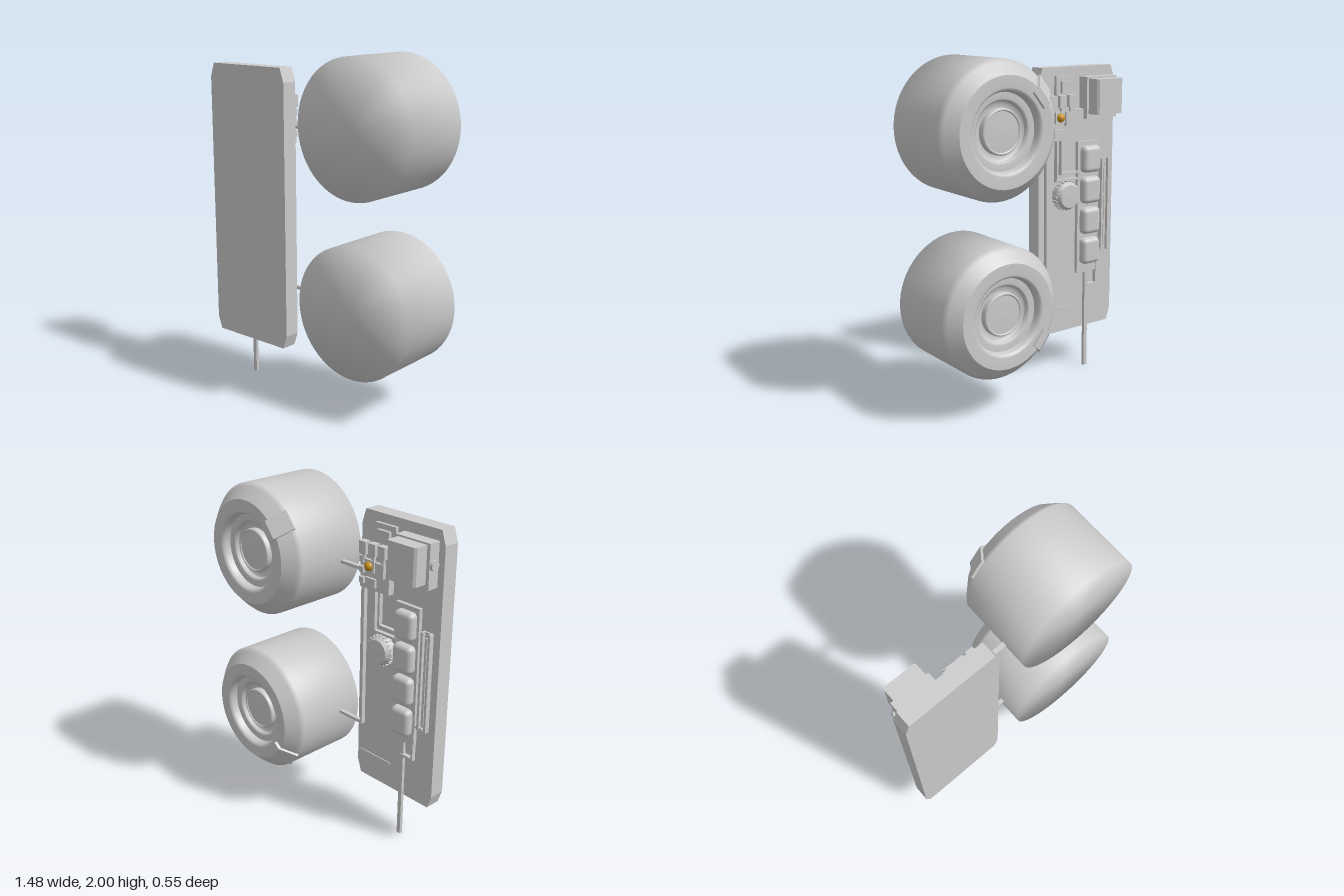
import * as THREE from 'three';
import { RoundedBoxGeometry } from 'three/addons/geometries/RoundedBoxGeometry.js';

const grey = new THREE.MeshStandardMaterial({ color: 0xcccccc });
const flat = new THREE.MeshStandardMaterial({ color: 0xcccccc, flatShading: true });
const gold = new THREE.MeshStandardMaterial({ color: 0xc8921a });

const BACK = 0.145; // rear face of the slab, where the controls sit

function add(parent, name, geo, mat = flat) {
  const m = new THREE.Mesh(geo, mat);
  m.name = name;
  parent.add(m);
  return m;
}

// Box given by its limits on each axis
function box(parent, name, x0, x1, y0, y1, z0, z1) {
  const m = add(parent, name, new THREE.BoxGeometry(x1 - x0, y1 - y0, z1 - z0));
  m.position.set((x0 + x1) / 2, (y0 + y1) / 2, (z0 + z1) / 2);
  return m;
}

// Lathe turned so that profile height runs towards the back (-z)
function lathe(parent, name, pts, mat = grey, seg = 64) {
  const geo = new THREE.LatheGeometry(pts.map(p => new THREE.Vector2(p[0], p[1])), seg);
  geo.rotateX(-Math.PI / 2);
  return add(parent, name, geo, mat);
}

// Square wire through a list of [x, y] corners, lying on the slab
function wire(parent, name, pts, w = 0.018, z = 0.128) {
  for (let i = 0; i < pts.length - 1; i++) {
    const [a, b] = [pts[i], pts[i + 1]], h = w / 2;
    box(parent, name, Math.min(a[0], b[0]) - h, Math.max(a[0], b[0]) + h,
      Math.min(a[1], b[1]) - h, Math.max(a[1], b[1]) + h, z - 0.013, z + 0.013);
  }
}

// Box tapering towards the back, with bevelled rear edges
function bevelBox(parent, name, w, h, d, bevel) {
  const s = new THREE.Shape();
  s.moveTo(-w / 2, 0);
  s.lineTo(w / 2, 0);
  s.lineTo(w / 2, d - bevel);
  s.lineTo(w / 2 - bevel, d);
  s.lineTo(-w / 2 + bevel, d);
  s.lineTo(-w / 2, d - bevel);
  const geo = new THREE.ExtrudeGeometry(s, { depth: h, bevelEnabled: false });
  geo.translate(0, 0, -h / 2).rotateX(-Math.PI / 2);
  return add(parent, name, geo);
}

function speaker(side) {
  const g = new THREE.Group();
  lathe(g, 'speakerShell', [[0, -0.27], [0.38, -0.27], [0.38, 0.17], [0.36, 0.195], [0.3, 0.255]]);
  lathe(g, 'speakerRim', [[0.3, 0.255], [0.235, 0.255], [0.222, 0.25], [0.215, 0.235], [0.21, 0.205]]);
  lathe(g, 'speakerRing', [[0.21, 0.205], [0.175, 0.205], [0.165, 0.2], [0.16, 0.18]]);
  lathe(g, 'speakerCone', [[0.16, 0.18], [0.145, 0.17], [0.125, 0.17]]);
  lathe(g, 'speakerDomeEdge', [[0.125, 0.165], [0.125, 0.2], [0.12, 0.207], [0.113, 0.207], [0.11, 0.2]]);
  lathe(g, 'speakerDome', [[0.11, 0.2], [0.06, 0.202], [0, 0.203]]);
  // Tab folded over the bevelled rim
  const s = new THREE.Shape();
  [[0.25, 0.24], [0.25, 0.275], [0.295, 0.275], [0.385, 0.185], [0.372, 0.17], [0.295, 0.24]]
    .forEach((p, i) => (i ? s.lineTo(p[0], p[1]) : s.moveTo(p[0], p[1])));
  const geo = new THREE.ExtrudeGeometry(s, { depth: 0.112, bevelEnabled: false });
  geo.translate(0, 0, -0.056).rotateX(-Math.PI / 2);
  const tab = add(g, 'rimTab', geo);
  tab.rotation.z = side * 141 * Math.PI / 180;
  return g;
}

export function createModel() {
  const root = new THREE.Group();

  // Slab with clipped corners
  const s = new THREE.Shape();
  const [l, r, b, t, cx, cy] = [-0.74, -0.155, 0.265, 1.91, 0.027, 0.08];
  [[l + cx, b], [r - cx, b], [r, b + cy], [r, t - cy], [r - cx, t], [l + cx, t], [l, t - cy], [l, b + cy]]
    .forEach((p, i) => (i ? s.lineTo(p[0], p[1]) : s.moveTo(p[0], p[1])));
  const slab = add(root, 'slab', new THREE.ExtrudeGeometry(s, { depth: 0.095, bevelEnabled: false }));
  slab.position.z = BACK;

  // Speakers and the wires reaching them
  for (const [side, y, wy] of [[1, 1.62, 1.575], [-1, 0.612, 0.625]]) {
    const g = speaker(side);
    g.name = side > 0 ? 'upperSpeaker' : 'lowerSpeaker';
    g.position.set(0.358, y, 0);
    root.add(g);
    wire(root, 'speakerWire', [[-0.2, wy], [0, wy]]);
  }
  wire(root, 'downWire', [[-0.2, 1.55], [-0.2, 0.625]], 0.016);

  // Power housing in the upper corner
  const housing = new THREE.Group();
  housing.name = 'powerHousing';
  root.add(housing);
  box(housing, 'housingBase', -0.7, -0.465, 1.6, 1.85, 0.075, BACK);
  const cover = bevelBox(housing, 'housingCover', 0.2, 0.21, 0.085, 0.012);
  cover.position.set(-0.58, 1.735, 0.075);
  const dial = add(housing, 'sideDial', new THREE.CylinderGeometry(0.028, 0.028, 0.02, 16));
  dial.rotation.z = Math.PI / 2;
  dial.position.set(-0.706, 1.73, 0.105);

  // Circuit board with small parts
  const board = new THREE.Group();
  board.name = 'circuitBoard';
  root.add(board);
  box(board, 'boardBase', -0.4, -0.185, 1.48, 1.72, 0.105, BACK);
  for (let i = 0; i < 3; i++) {
    const x = -0.385 + i * 0.07;
    box(board, 'terminal', x, x + 0.05, 1.68, 1.75, 0.08, 0.12);
    box(board, 'terminalPin', x + 0.015, x + 0.035, 1.64, 1.69, 0.09, 0.11);
  }
  box(board, 'chip', -0.375, -0.315, 1.57, 1.65, 0.085, 0.11);
  box(board, 'lowerChip', -0.31, -0.235, 1.5, 1.55, 0.09, 0.11);
  for (const y of [1.51, 1.57, 1.63]) box(board, 'edgePart', -0.225, -0.195, y, y + 0.035, 0.085, 0.11);
  box(board, 'coilSeat', -0.305, -0.235, 1.585, 1.655, 0.085, 0.11);
  const coil = add(board, 'coil', new THREE.SphereGeometry(0.026, 20, 12), gold);
  coil.position.set(-0.27, 1.62, 0.084);

  // Bracket above the board
  box(root, 'bracket', -0.42, -0.27, 1.73, 1.86, 0.125, BACK);
  box(root, 'bracketCore', -0.39, -0.3, 1.76, 1.83, 0.105, 0.13);
  box(root, 'bridge', -0.47, -0.39, 1.6, 1.66, 0.105, BACK);

  // Strip of four rounded keys
  box(root, 'keyPanel', -0.61, -0.44, 0.63, 1.46, 0.122, BACK);
  for (let i = 0; i < 4; i++) {
    const key = add(root, 'key', new RoundedBoxGeometry(0.135, 0.165, 0.08, 4, 0.03), grey);
    key.position.set(-0.527, 1.35 - i * 0.193, 0.113);
  }

  // Turning knob with grip ribs
  const knob = new THREE.Group();
  knob.name = 'knob';
  knob.position.set(-0.345, 1.14, 0);
  root.add(knob);
  lathe(knob, 'knobBody', [[0.085, -BACK], [0.085, -0.1], [0.07, -0.078], [0, -0.076]], flat, 28);
  for (let i = 0; i < 20; i++) {
    const a = i / 20 * Math.PI * 2;
    const rib = add(knob, 'knobRib', new THREE.BoxGeometry(0.012, 0.012, 0.04));
    rib.position.set(Math.cos(a) * 0.085, Math.sin(a) * 0.085, 0.122);
    rib.rotation.z = a;
  }

  // Slider rail: frame with a raised centre strip
  box(root, 'railLeft', -0.645, -0.63, 0.75, 1.34, 0.115, BACK);
  box(root, 'railRight', -0.695, -0.68, 0.75, 1.34, 0.115, BACK);
  box(root, 'railBed', -0.69, -0.635, 0.75, 1.34, 0.135, BACK);
  box(root, 'railStrip', -0.67, -0.655, 0.78, 1.31, 0.122, BACK);

  // Wires on the slab and the lead below
  wire(root, 'signalWire', [[-0.28, 1.5], [-0.28, 1.235], [-0.45, 1.235]], 0.014, 0.133);
  wire(root, 'signalWire', [[-0.315, 1.5], [-0.315, 1.275], [-0.45, 1.275]], 0.014, 0.133);
  wire(root, 'sliderWire', [[-0.66, 0.76], [-0.6, 0.76], [-0.6, 0.54], [-0.52, 0.54]], 0.014, 0.133);
  box(root, 'lead', -0.533, -0.508, 0, 0.66, 0.125, BACK);

  // Shallow trim strip
  box(root, 'trimStrip', -0.42, -0.18, 0.415, 0.43, 0.139, BACK);
  return root;
}
